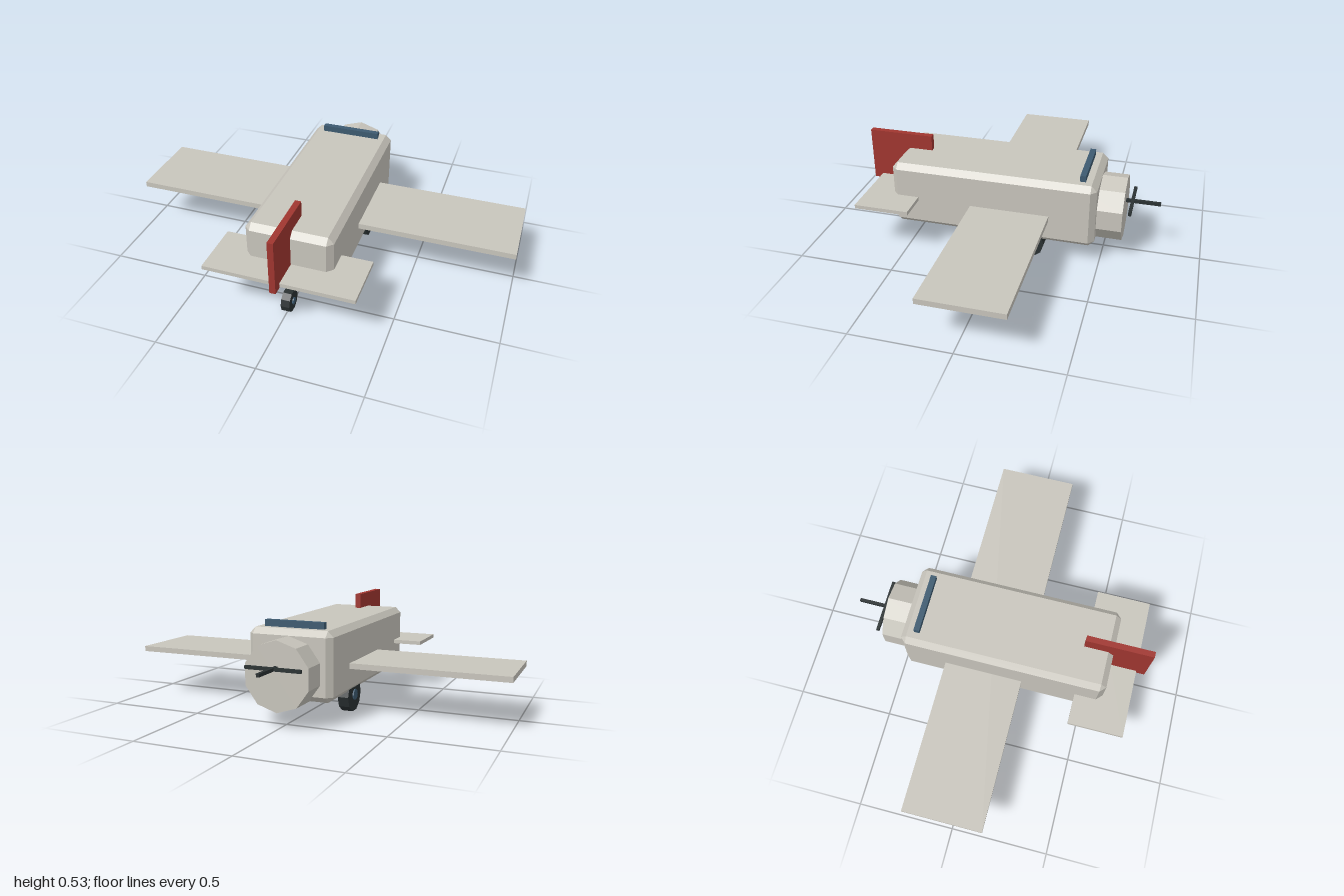
import * as THREE from 'three';
import { ConvexGeometry } from 'three/addons/geometries/ConvexGeometry.js';

const material = (name, color) => {
  const m = new THREE.MeshStandardMaterial({ color, flatShading: true });
  m.name = name;
  return m;
};

// Box with every edge and corner cut off by c
function chamferedBox(w, h, d, c) {
  const points = [];
  for (const x of [-1, 1]) for (const y of [-1, 1]) for (const z of [-1, 1]) {
    const [a, b, e] = [w / 2, h / 2, d / 2];
    points.push(
      new THREE.Vector3(x * a, y * (b - c), z * (e - c)),
      new THREE.Vector3(x * (a - c), y * b, z * (e - c)),
      new THREE.Vector3(x * (a - c), y * (b - c), z * e));
  }
  return new ConvexGeometry(points);
}

export function createModel() {
  const plane = new THREE.Group();
  plane.name = 'airplane';

  const body = material('warm grey', 0xc8c5bc);
  const red = material('red', 0xa03630);
  const blue = material('slate blue', 0x3d5a70);
  const dark = material('charcoal', 0x2a3132);

  function add(name, geometry, mat, x, y, z, parent = plane) {
    const mesh = new THREE.Mesh(geometry, mat);
    mesh.name = name;
    mesh.position.set(x, y, z);
    parent.add(mesh);
    return mesh;
  }
  const box = (w, h, d) => new THREE.BoxGeometry(w, h, d);

  // Body and engine cowling
  add('fuselage', chamferedBox(0.434, 0.34, 1.06, 0.029), body, 0, 0.28, 0.057);
  add('engineCowling', new THREE.CylinderGeometry(0.17, 0.17, 0.25, 10).rotateX(Math.PI / 2), body, 0, 0.25, -0.475);

  // Flying surfaces
  add('wing', box(2, 0.028, 0.408), body, 0, 0.251, -0.038);
  add('tailplane', box(0.746, 0.02, 0.284), body, 0, 0.265, 0.588);
  add('rudder', box(0.03, 0.28, 0.342), red, 0, 0.39, 0.605);

  // Windshield bar
  add('windshield', box(0.31, 0.06, 0.029), blue, 0, 0.452, -0.396);

  // Crossed propeller blades
  add('propellerBladeAcross', box(0.284, 0.016, 0.016), dark, 0, 0.292, -0.633);
  add('propellerBladeAlong', box(0.016, 0.016, 0.284), dark, 0, 0.292, -0.633);

  // Wheels: a tyre with a slightly wider hub
  function addWheel(name, r, width, hubR, hubWidth, x, y, z) {
    const wheel = new THREE.Group();
    wheel.name = name;
    wheel.position.set(x, y, z);
    plane.add(wheel);
    const disc = (radius, w) => new THREE.CylinderGeometry(radius, radius, w, 10).rotateZ(Math.PI / 2);
    add('tyre', disc(r, width), dark, 0, 0, 0, wheel);
    add('hub', disc(hubR, hubWidth), blue, 0, 0, 0, wheel);
  }
  for (const side of [1, -1]) {
    addWheel(side > 0 ? 'leftWheel' : 'rightWheel', 0.087, 0.056, 0.028, 0.07, side * 0.172, 0.083, -0.131);
  }
  addWheel('tailWheel', 0.056, 0.044, 0.018, 0.056, 0, 0.054, 0.588);

  return plane;
}
